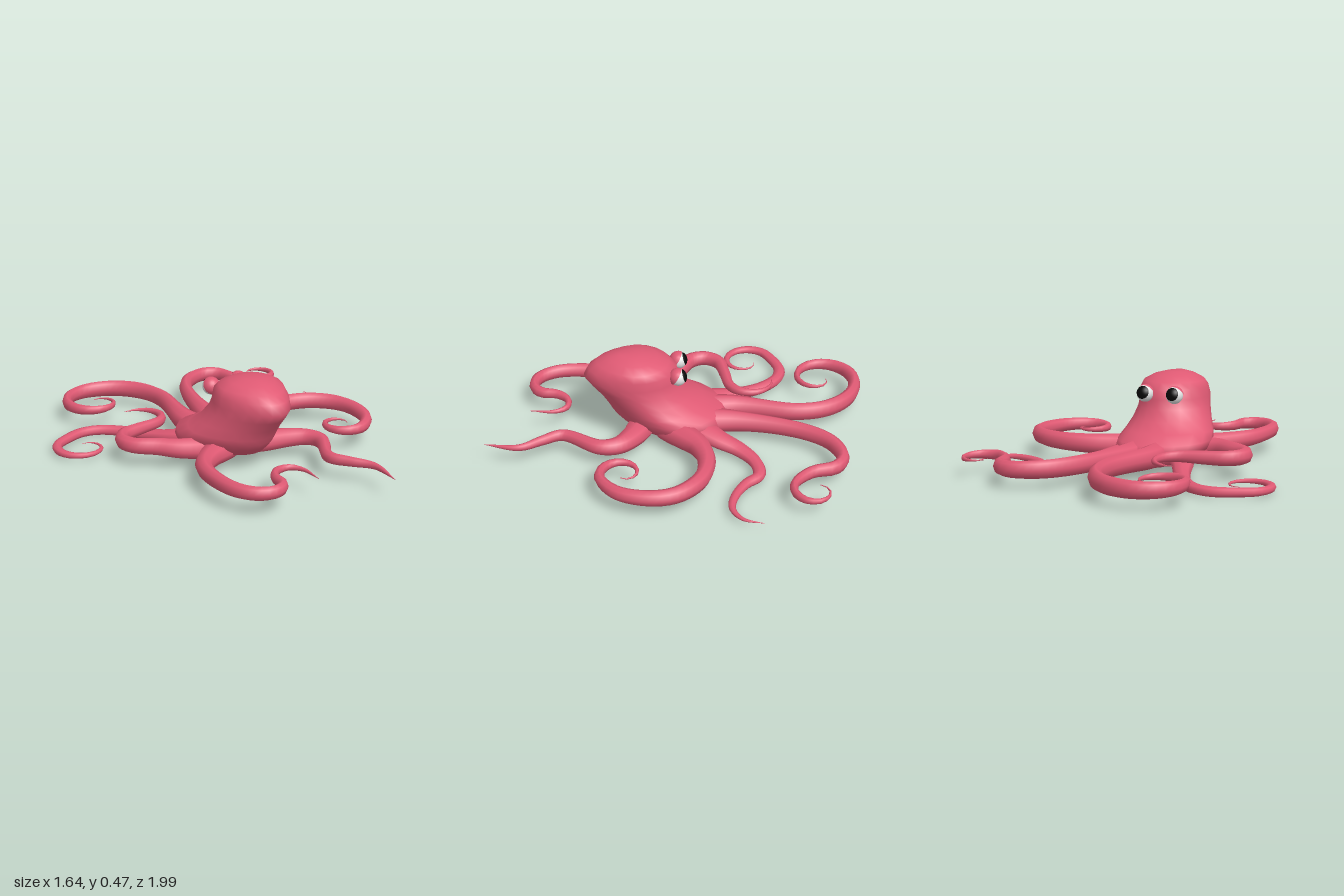
import * as THREE from 'three';

const skin = new THREE.MeshStandardMaterial({ color: 0xe05a74 });
skin.name = 'rose skin';
const eyeWhite = new THREE.MeshStandardMaterial({ color: 0xeeeeee });
eyeWhite.name = 'eye white';
const pupilBlack = new THREE.MeshStandardMaterial({ color: 0x080808 });
pupilBlack.name = 'pupil black';

// Skin a list of closed rings (counter-clockwise about the loft direction), closing both ends
function loft(rings) {
  const n = rings[0].length;
  const middle = ring => ring.reduce((s, p) => s.add(p), new THREE.Vector3()).divideScalar(n);
  const points = [...rings.flat(), middle(rings[0]), middle(rings[rings.length - 1])];
  const start = points.length - 2, end = points.length - 1, last = (rings.length - 1) * n;
  const index = [];
  for (let j = 0; j < n; j++) {
    const k = (j + 1) % n;
    for (let i = 0; i < rings.length - 1; i++) {
      const a = i * n + j, b = i * n + k;
      index.push(a, b, a + n, b, b + n, a + n);
    }
    index.push(start, k, j, end, last + j, last + k);
  }
  const geometry = new THREE.BufferGeometry().setFromPoints(points);
  geometry.setIndex(index);
  geometry.computeVertexNormals();
  return geometry;
}

function mesh(name, geometry, material) {
  const m = new THREE.Mesh(geometry, material);
  m.name = name;
  return m;
}

// Body rings from underside to crown: height, face z, rear z, half width, centre x
const bodyRings = [
  [0.035, -0.17, 0.2, 0.13, -0.03],
  [0.06, -0.23, 0.29, 0.2, -0.04],
  [0.11, -0.26, 0.34, 0.25, -0.05],
  [0.15, -0.23, 0.365, 0.255, -0.055],
  [0.19, -0.13, 0.38, 0.24, -0.05],
  [0.24, -0.06, 0.41, 0.215, -0.04],
  [0.30, -0.015, 0.46, 0.195, -0.03],
  [0.35, 0, 0.498, 0.187, -0.025],
  [0.40, 0.01, 0.475, 0.182, -0.022],
  [0.435, 0.05, 0.43, 0.165, -0.02],
  [0.462, 0.11, 0.37, 0.115, -0.02],
  [0.478, 0.18, 0.31, 0.05, -0.02],
];

function bodyGeometry() {
  const sides = 20;
  return loft(bodyRings.map(([y, face, rear, w, cx]) => {
    const mid = face + (rear - face) * 0.47;
    const tilt = Math.max(0, 0.11 - 0.6 * y); // the underside rises toward the rear
    return Array.from({ length: sides }, (_, j) => {
      const a = j / sides * Math.PI * 2;
      const c = Math.cos(a), s = Math.sin(a);
      const taper = c > 0 ? 1 - 0.22 * c : 1; // the rear narrows to a soft point
      const z = mid + c * (c > 0 ? rear - mid : mid - face);
      return new THREE.Vector3(cx + s * w * taper, y + tilt * z, z);
    });
  }));
}

// Continue a path from its last point as a spiral: centre, turn in degrees, end radius, easing
function spiral([x, z], [cx, cz, turn, endRadius, ease = 1]) {
  const radius = Math.hypot(x - cx, z - cz), angle = Math.atan2(z - cz, x - cx), count = 10;
  return Array.from({ length: count }, (_, i) => {
    const t = (i + 1) / count;
    const a = angle + THREE.MathUtils.degToRad(turn) * t;
    const r = THREE.MathUtils.lerp(radius, endRadius, t ** ease);
    return [cx + r * Math.cos(a), cz + r * Math.sin(a)];
  });
}

// Tapered arm along an x,z path: y is its height, r its thickness, tall its vertical stretch
function arm(name, { y, r, tall }, stem, curl) {
  const path = curl ? [...stem, ...spiral(stem[stem.length - 1], curl)] : stem;
  const curve = new THREE.CatmullRomCurve3(path.map(([x, z]) => new THREE.Vector3(x, 0, z)), false, 'centripetal');
  const steps = 48, sides = 8, up = new THREE.Vector3(0, 1, 0), rings = [];
  const length = curve.getLength();
  for (let i = 0; i <= steps; i++) {
    const t = i / steps;
    const side = up.clone().cross(curve.getTangentAt(t)).normalize();
    const root = Math.exp(-((t * length / 0.27) ** 2)); // flare into the body
    const thin = r * Math.max(0.04, 1 - t ** 3.2);
    const wide = thin + 0.045 * root;
    const high = thin * tall + 0.016 * root;
    const centre = curve.getPointAt(t).setY(THREE.MathUtils.lerp(y, 0.095, root));
    rings.push(Array.from({ length: sides }, (_, j) => {
      const a = j / sides * Math.PI * 2;
      return centre.clone().addScaledVector(side, Math.cos(a) * wide).addScaledVector(up, Math.sin(a) * high);
    }));
  }
  return mesh(name, loft(rings), skin);
}

// Spherical cap whose middle points along a direction
function cap(radius, angle, direction) {
  const geometry = new THREE.SphereGeometry(radius, 16, 6, 0, Math.PI * 2, 0, angle);
  const turn = new THREE.Quaternion().setFromUnitVectors(new THREE.Vector3(0, 1, 0), direction.normalize());
  return geometry.applyQuaternion(turn);
}

function eye(name, x) {
  const group = new THREE.Group();
  group.name = name;
  group.add(
    mesh('eyeball', new THREE.SphereGeometry(0.045, 16, 12), eyeWhite),
    mesh('pupil', cap(0.0465, 0.85, new THREE.Vector3(0, 0.3, -1)), pupilBlack),
    mesh('eyelid', cap(0.049, 1.4, new THREE.Vector3(0, 0.6, 1)), skin),
  );
  group.position.set(x, 0.38, 0.004);
  return group;
}

export function createModel() {
  const model = new THREE.Group();
  model.name = 'octopus';
  model.add(mesh('body', bodyGeometry(), skin), eye('leftEye', 0.05), eye('rightEye', -0.12));

  // Front arms
  model.add(arm('frontRightArm', { y: 0.105, r: 0.039, tall: 1.35 },
    [[-0.08, -0.06], [-0.11, -0.27], [-0.05, -0.63], [-0.09, -0.8], [-0.2, -0.92], [-0.36, -0.965]],
    [-0.38, -0.77, -366, 0.04]));
  model.add(arm('frontLeftArm', { y: 0.105, r: 0.038, tall: 1.3 },
    [[0.02, -0.06], [0.035, -0.3], [0.14, -0.66], [0.24, -0.79], [0.37, -0.835], [0.45, -0.79], [0.49, -0.67],
      [0.58, -0.58]],
    [0.64, -0.68, -274, 0.05]));

  // Low side arms
  model.add(arm('leftWaveArm', { y: 0.034, r: 0.035, tall: 0.8 },
    [[0.06, -0.06], [0.16, -0.2], [0.23, -0.32], [0.32, -0.395], [0.43, -0.41], [0.5, -0.34], [0.6, -0.285],
      [0.7, -0.27], [0.78, -0.32], [0.81, -0.42]]));
  model.add(arm('rightCurlArm', { y: 0.034, r: 0.036, tall: 0.8 },
    [[-0.12, -0.02], [-0.245, -0.17], [-0.315, -0.32], [-0.4, -0.465], [-0.49, -0.545], [-0.59, -0.565],
      [-0.71, -0.52]],
    [-0.67, -0.38, -333, 0.04, 1.6]));

  // Raised side arms
  model.add(arm('leftCurlArm', { y: 0.118, r: 0.042, tall: 1.15 },
    [[0.08, 0.06], [0.2, -0.045], [0.29, -0.11], [0.43, -0.145], [0.585, -0.11], [0.7, 0], [0.73, 0.13],
      [0.69, 0.29], [0.585, 0.38]],
    [0.53, 0.27, 315, 0.04]));
  model.add(arm('rightHookArm', { y: 0.122, r: 0.04, tall: 1.1 },
    [[-0.14, 0.12], [-0.34, 0.08], [-0.44, 0.01], [-0.54, -0.06], [-0.565, -0.14], [-0.52, -0.215],
      [-0.42, -0.245], [-0.29, -0.27]],
    [-0.33, -0.39, -172, 0.117]));

  // Rear arms
  model.add(arm('rearLeftArm', { y: 0.115, r: 0.033, tall: 1.2 },
    [[0.04, 0.18], [0.19, 0.24], [0.28, 0.31], [0.3, 0.4], [0.2, 0.6], [0.25, 0.7], [0.315, 0.81], [0.29, 0.995]]));
  model.add(arm('rearRightArm', { y: 0.12, r: 0.036, tall: 1.2 },
    [[-0.12, 0.15], [-0.29, 0.25], [-0.395, 0.37], [-0.43, 0.53], [-0.41, 0.69], [-0.34, 0.78], [-0.26, 0.795],
      [-0.2, 0.755], [-0.18, 0.66], [-0.125, 0.6], [-0.05, 0.6], [-0.01, 0.66], [-0.015, 0.79]]));
  return model;
}
